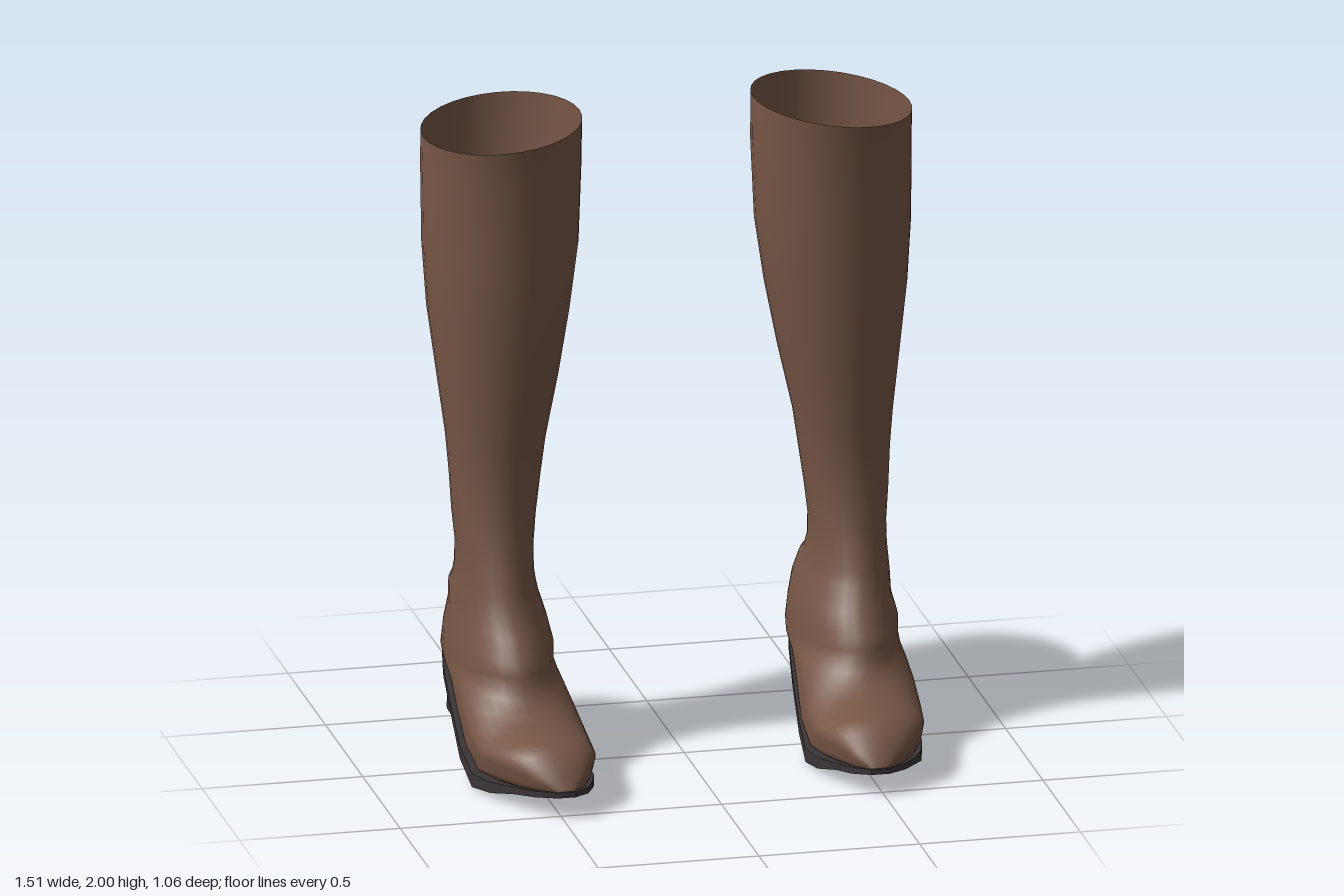
import * as THREE from 'three';
import { toCreasedNormals } from 'three/addons/utils/BufferGeometryUtils.js';

const SIDES = 32;

// Closed cross-section from a front point to a back point; exponents below 1 square off that half.
function section(fz, fy, bz, by, x0, x1, backPower = 1, frontPower = 1) {
  const ring = [];
  for (let j = 0; j < SIDES; j++) {
    const a = (j / SIDES) * Math.PI * 2;
    const c = Math.cos(a), s = Math.sin(a);
    const e = c < 0 ? backPower : frontPower;
    const u = Math.sign(c) * Math.abs(c) ** e;
    const v = Math.sign(s) * Math.abs(s) ** e;
    ring.push([
      (x0 + x1) / 2 + ((x1 - x0) / 2) * v,
      (fy + by) / 2 + ((fy - by) / 2) * u,
      (fz + bz) / 2 + ((fz - bz) / 2) * u,
    ]);
  }
  return ring;
}

// Skin a list of equal-length rings, optionally capping either end.
function loft(rings, capStart, capEnd, crease) {
  const n = rings[0].length;
  const pos = rings.flat(2);
  const index = [];
  for (let i = 0; i < rings.length - 1; i++) {
    for (let j = 0; j < n; j++) {
      const k = (j + 1) % n;
      const a = i * n + j, b = i * n + k, c = a + n, d = b + n;
      index.push(a, c, b, b, c, d);
    }
  }
  const cap = (i, flip) => {
    const centre = pos.length / 3;
    for (let q = 0; q < 3; q++) pos.push(rings[i].reduce((t, p) => t + p[q], 0) / n);
    for (let j = 0; j < n; j++) {
      const a = i * n + j, b = i * n + ((j + 1) % n);
      index.push(centre, flip ? b : a, flip ? a : b);
    }
  };
  if (capStart) cap(0, false);
  if (capEnd) cap(rings.length - 1, true);
  const g = new THREE.BufferGeometry();
  g.setAttribute('position', new THREE.Float32BufferAttribute(pos, 3));
  g.setIndex(index);
  g.computeVertexNormals();
  return crease ? toCreasedNormals(g, crease) : g;
}

// Leg: height, front z, back z, inner x, outer x
const LEG = [
  [1.97, 0.04, -0.52, 0.27, 0.757],
  [1.85, 0.023, -0.515, 0.27, 0.757],
  [1.6, 0.018, -0.5, 0.28, 0.755],
  [1.4, 0.008, -0.475, 0.308, 0.742],
  [1.2, -0.007, -0.43, 0.345, 0.717],
  [1.0, -0.028, -0.38, 0.388, 0.692],
  [0.88, -0.037, -0.363, 0.405, 0.682],
  [0.76, -0.03, -0.358, 0.422, 0.675],
  [0.66, -0.012, -0.36, 0.433, 0.665],
  [0.59, 0.008, -0.375, 0.433, 0.665],
];

// Foot: front z, y, back z, y, inner x, outer x, squareness of the lower half
const FOOT = [
  [0.025, 0.54, -0.405, 0.54, 0.425, 0.67, 1],
  [0.04, 0.5, -0.45, 0.51, 0.415, 0.675, 1],
  [0.085, 0.43, -0.482, 0.45, 0.395, 0.675, 1],
  [0.135, 0.37, -0.502, 0.37, 0.38, 0.692, 1],
  [0.145, 0.33, -0.522, 0.28, 0.38, 0.692, 0.9],
  [0.155, 0.3, -0.44, 0.255, 0.375, 0.692, 0.75],
  [0.17, 0.27, -0.28, 0.235, 0.37, 0.695, 0.6],
  [0.2, 0.24, -0.12, 0.17, 0.358, 0.7, 0.45],
  [0.25, 0.215, 0.03, 0.08, 0.345, 0.7, 0.35],
  [0.31, 0.203, 0.17, 0.038, 0.343, 0.69, 0.35],
  [0.39, 0.207, 0.29, 0.047, 0.355, 0.662, 0.4],
  [0.45, 0.19, 0.4, 0.062, 0.385, 0.622, 0.4],
  [0.49, 0.145, 0.47, 0.07, 0.415, 0.575, 0.5],
  [0.525, 0.09, 0.515, 0.077, 0.46, 0.515, 0.5],
];

// Sole: z, bottom y, top y, inner x, outer x
const SOLE = [
  [-0.526, 0.26, 0.277, 0.5, 0.58],
  [-0.45, 0.243, 0.264, 0.43, 0.65],
  [-0.28, 0.21, 0.24, 0.39, 0.685],
  [-0.12, 0.145, 0.175, 0.365, 0.7],
  [0.03, 0.045, 0.085, 0.35, 0.705],
  [0.17, 0.0, 0.043, 0.338, 0.7],
  [0.29, 0.018, 0.053, 0.348, 0.67],
  [0.4, 0.048, 0.07, 0.378, 0.627],
  [0.48, 0.06, 0.08, 0.41, 0.575],
  [0.53, 0.068, 0.085, 0.46, 0.515],
];

// Heel block: y, front z, back z, inner x, outer x
const HEEL = [
  [0.25, -0.235, -0.495, 0.44, 0.65],
  [0.17, -0.233, -0.472, 0.455, 0.64],
  [0.057, -0.233, -0.48, 0.455, 0.645],
];

const slab = (rows, inset, lift) =>
  rows.map(([z, y0, y1, x0, x1]) => [
    [x0 + inset, y0 + lift, z], [x0 + inset, y1 + lift, z],
    [x1 - inset, y1 + lift, z], [x1 - inset, y0 + lift, z],
  ]);

export function createModel() {
  const leather = new THREE.MeshStandardMaterial({ color: 0x765646, side: THREE.DoubleSide });
  leather.name = 'brown leather';
  const rubber = new THREE.MeshStandardMaterial({ color: 0x3a3537 });
  rubber.name = 'dark rubber';

  // Upper: open at the top, with a rim that dips on the outer side
  const rings = [
    ...LEG.map(([y, fz, bz, x0, x1]) => section(fz, y, bz, y, x0, x1)),
    ...FOOT.map((r) => section(...r)),
  ];
  rings[0].forEach((p, j) => {
    const a = (j / SIDES) * Math.PI * 2;
    p[1] += 0.005 - 0.025 * Math.sin(a);
  });

  const parts = {
    upper: [loft(rings, false, true), leather],
    sole: [loft(slab(SOLE, 0, 0), true, true, 0.7), rubber],
    insole: [loft(slab(SOLE.slice(1, 6), 0.045, 0.03), true, true, 0.7), rubber],
    heel: [
      loft(HEEL.map(([y, fz, bz, x0, x1]) => section(fz, y, bz, y, x0, x1, 0.6, 0.25)), true, true, 0.8),
      rubber,
    ],
  };

  // A mirrored pair
  const model = new THREE.Group();
  model.name = 'pairOfBoots';
  for (const side of [1, -1]) {
    const boot = new THREE.Group();
    boot.name = side > 0 ? 'leftBoot' : 'rightBoot';
    for (const [name, [geometry, material]] of Object.entries(parts)) {
      const mesh = new THREE.Mesh(geometry, material);
      mesh.name = name;
      boot.add(mesh);
    }
    boot.scale.x = side;
    model.add(boot);
  }
  return model;
}
